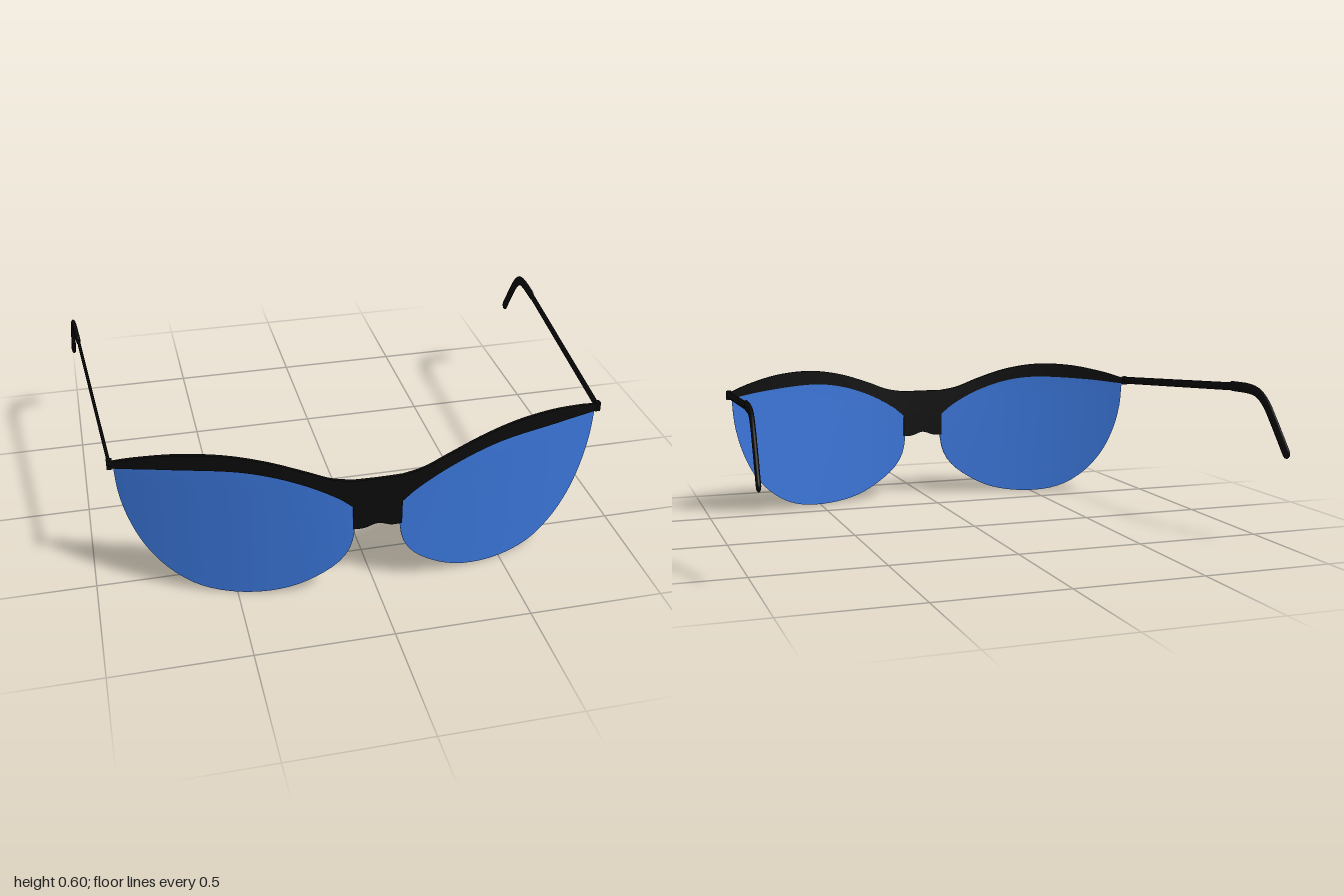
import * as THREE from 'three';
import { mergeGeometries } from 'three/addons/utils/BufferGeometryUtils.js';

const black = new THREE.MeshStandardMaterial({ color: 0x0b0b0b });
const blue = new THREE.MeshStandardMaterial({ color: 0x3a75d8, side: THREE.DoubleSide });

// Wrap of the front, seen from above, with the lower part leaning back slightly
const wrapZ = (x, y) => 0.731 - 0.285 * x * x - 0.014 * Math.max(0, 1 - y / 0.5) * Math.min(1, Math.abs(x) / 0.3);

const curve = (pts) => new THREE.SplineCurve(pts.map(([x, y]) => new THREE.Vector2(x, y)));
const mirror = (pts, side) => (side > 0 ? pts : pts.map(([x, y]) => [-x, y]).reverse());

// Thin curved plate filling the area between a lower and an upper edge curve (both run towards +x)
function plate(lower, upper, thickness, cols, rows) {
  const geo = new THREE.BoxGeometry(1, 1, 1, cols, rows, 1);
  const pos = geo.attributes.position;
  const lo = curve(lower), up = curve(upper);
  for (let i = 0; i < pos.count; i++) {
    const u = THREE.MathUtils.clamp(pos.getX(i) + 0.5, 0, 1);
    const p = lo.getPointAt(u).lerp(up.getPointAt(u), pos.getY(i) + 0.5);
    pos.setXYZ(i, p.x, p.y, wrapZ(p.x, p.y) + pos.getZ(i) * thickness);
  }
  geo.computeVertexNormals();
  return geo;
}

// Flattened rod along (z, y) points, with rounded ends, splayed outward towards the back
function rod(points, radius, halfWidth, side, segments) {
  const path = new THREE.CatmullRomCurve3(points.map(([z, y]) => new THREE.Vector3(0, y, z)), false, 'centripetal');
  const parts = [new THREE.TubeGeometry(path, segments, radius, 12)];
  for (const t of [0, 1]) {
    const p = path.getPoint(t);
    parts.push(new THREE.SphereGeometry(radius, 12, 8).translate(p.x, p.y, p.z));
  }
  const geo = mergeGeometries(parts);
  geo.scale(halfWidth / radius, 1, 1);
  const pos = geo.attributes.position;
  for (let i = 0; i < pos.count; i++) {
    const splay = 0.908 + 0.082 * (0.497 - pos.getZ(i)) / 1.22;
    pos.setX(i, pos.getX(i) + side * splay);
  }
  geo.computeVertexNormals();
  return geo;
}

// Outlines of the wearer's left half, from the middle outwards
const browTop = [[0.09, 0.48], [0.17, 0.495], [0.26, 0.53], [0.39, 0.572], [0.53, 0.594], [0.68, 0.588], [0.82, 0.558], [0.915, 0.525]];
const browBottom = [[0.09, 0.37], [0.15, 0.417], [0.26, 0.475], [0.39, 0.518], [0.53, 0.535], [0.74, 0.524], [0.89, 0.506], [0.915, 0.505]];
const lensTop = [[0.085, 0.4], [0.15, 0.445], [0.26, 0.495], [0.39, 0.54], [0.53, 0.555], [0.74, 0.542], [0.896, 0.512]];
const lensBottom = [[0.085, 0.4], [0.083, 0.27], [0.107, 0.176], [0.176, 0.1], [0.31, 0.027], [0.47, 0.001], [0.62, 0.02],
  [0.73, 0.085], [0.81, 0.18], [0.86, 0.29], [0.887, 0.4], [0.896, 0.512]];

export function createModel() {
  const model = new THREE.Group();
  model.name = 'sunglasses';
  const add = (parent, name, geo, mat) => {
    const mesh = new THREE.Mesh(geo, mat);
    mesh.name = name;
    parent.add(mesh);
    return mesh;
  };

  // Nose bridge joining the two brows
  add(model, 'bridge', plate(
    [[-0.09, 0.275], [-0.05, 0.276], [0, 0.291], [0.05, 0.276], [0.09, 0.275]],
    [[-0.09, 0.48], [0, 0.48], [0.09, 0.48]], 0.012, 16, 2), black);

  for (const side of [1, -1]) {
    const label = side > 0 ? 'left' : 'right';

    // Lens and the brow bar above it
    add(model, label + 'Lens', plate(mirror(lensBottom, side), mirror(lensTop, side), 0.004, 40, 12), blue);
    add(model, label + 'Brow', plate(mirror(browBottom, side), mirror(browTop, side), 0.012, 36, 2), black);

    // Hinge block at the outer corner
    const hinge = add(model, label + 'Hinge', new THREE.BoxGeometry(0.02, 0.036, 0.02), black);
    hinge.position.set(side * 0.908, 0.519, 0.497);

    // Temple arm with a thicker bent ear tip
    const temple = new THREE.Group();
    temple.name = label + 'Temple';
    model.add(temple);
    add(temple, label + 'Arm', rod([[0.495, 0.52], [-0.4, 0.58]], 0.016, 0.006, side, 4), black);
    add(temple, label + 'EarTip', rod(
      [[-0.36, 0.579], [-0.48, 0.579], [-0.535, 0.567], [-0.585, 0.532], [-0.635, 0.472], [-0.72, 0.36]],
      0.02, 0.009, side, 28), black);
  }
  return model;
}
